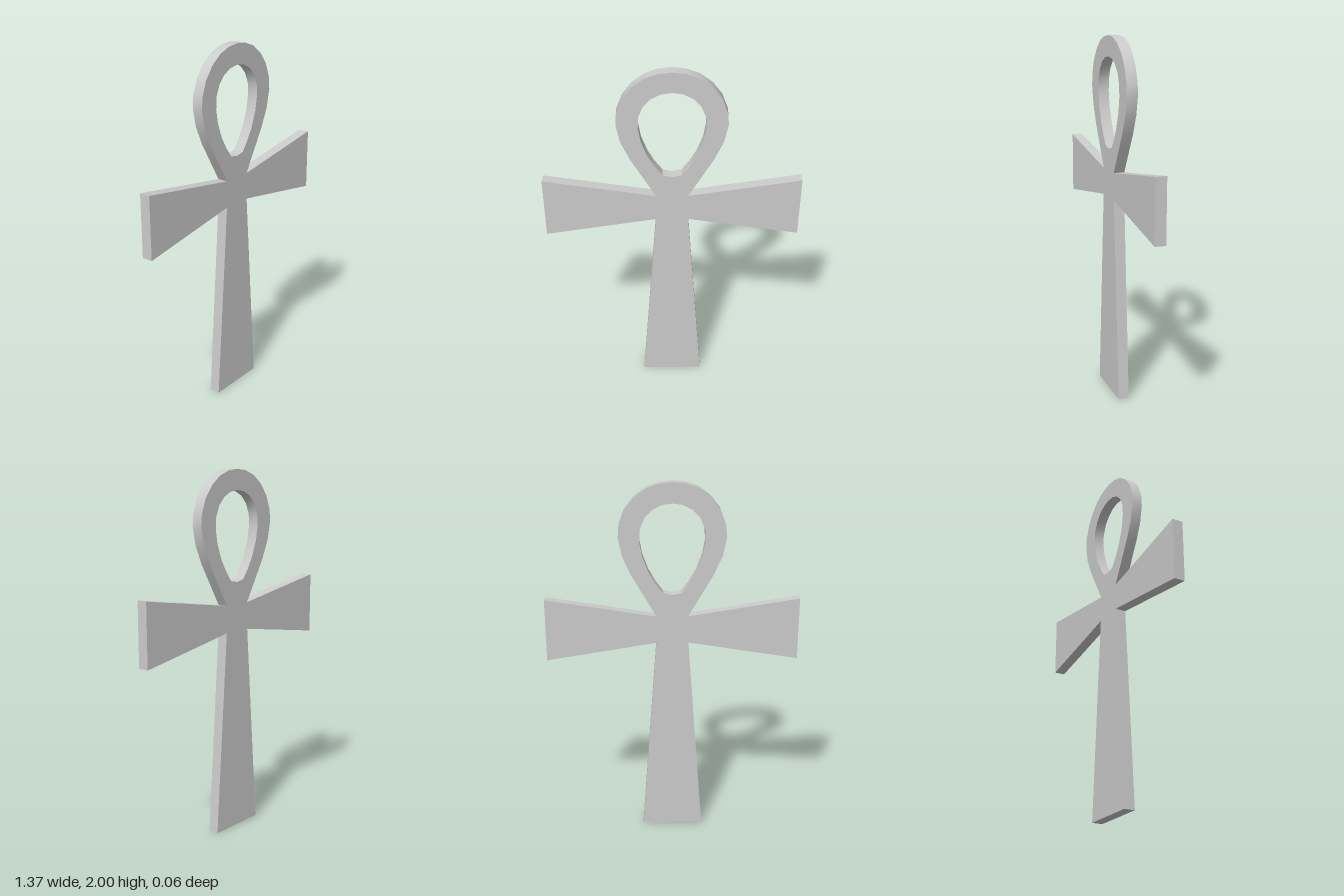
import * as THREE from 'three';
import { toCreasedNormals } from 'three/addons/utils/BufferGeometryUtils.js';

const DEPTH = 0.06;

// Mirrors a right-hand half outline (bottom to top) into a closed point list.
function mirrored(half) {
  const left = half.filter(([x]) => x > 0).reverse().map(([x, y]) => [-x, y]);
  return [...half, ...left].map(([x, y]) => new THREE.Vector2(x, y));
}

export function createModel() {
  const group = new THREE.Group();
  group.name = 'loopedCross';

  // Flared shaft, flared arm, then the outside of the teardrop loop
  const shape = new THREE.Shape(mirrored([
    [0.17, 0], [0.087, 1.13],
    [0.685, 1.033], [0.685, 1.376], [0.085, 1.28],
    [0.155, 1.4], [0.219, 1.51], [0.264, 1.61], [0.285, 1.71], [0.28, 1.775],
    [0.25, 1.855], [0.2, 1.92], [0.138, 1.967], [0.07, 1.992], [0, 2],
  ]));

  // Teardrop opening
  shape.holes.push(new THREE.Path(mirrored([
    [0, 1.4], [0.05, 1.41], [0.09, 1.464], [0.128, 1.53], [0.16, 1.615],
    [0.173, 1.69], [0.17, 1.755], [0.145, 1.815], [0.105, 1.857],
    [0.055, 1.882], [0, 1.89],
  ])));

  const geometry = new THREE.ExtrudeGeometry(shape, { depth: DEPTH, bevelEnabled: false });
  geometry.translate(0, 0, -DEPTH / 2);

  // Smooth around the loop, sharp at the corners
  const body = new THREE.Mesh(
    toCreasedNormals(geometry, THREE.MathUtils.degToRad(30)),
    new THREE.MeshStandardMaterial({ color: 0xcccccc }),
  );
  body.name = 'crossBody';
  group.add(body);
  return group;
}
